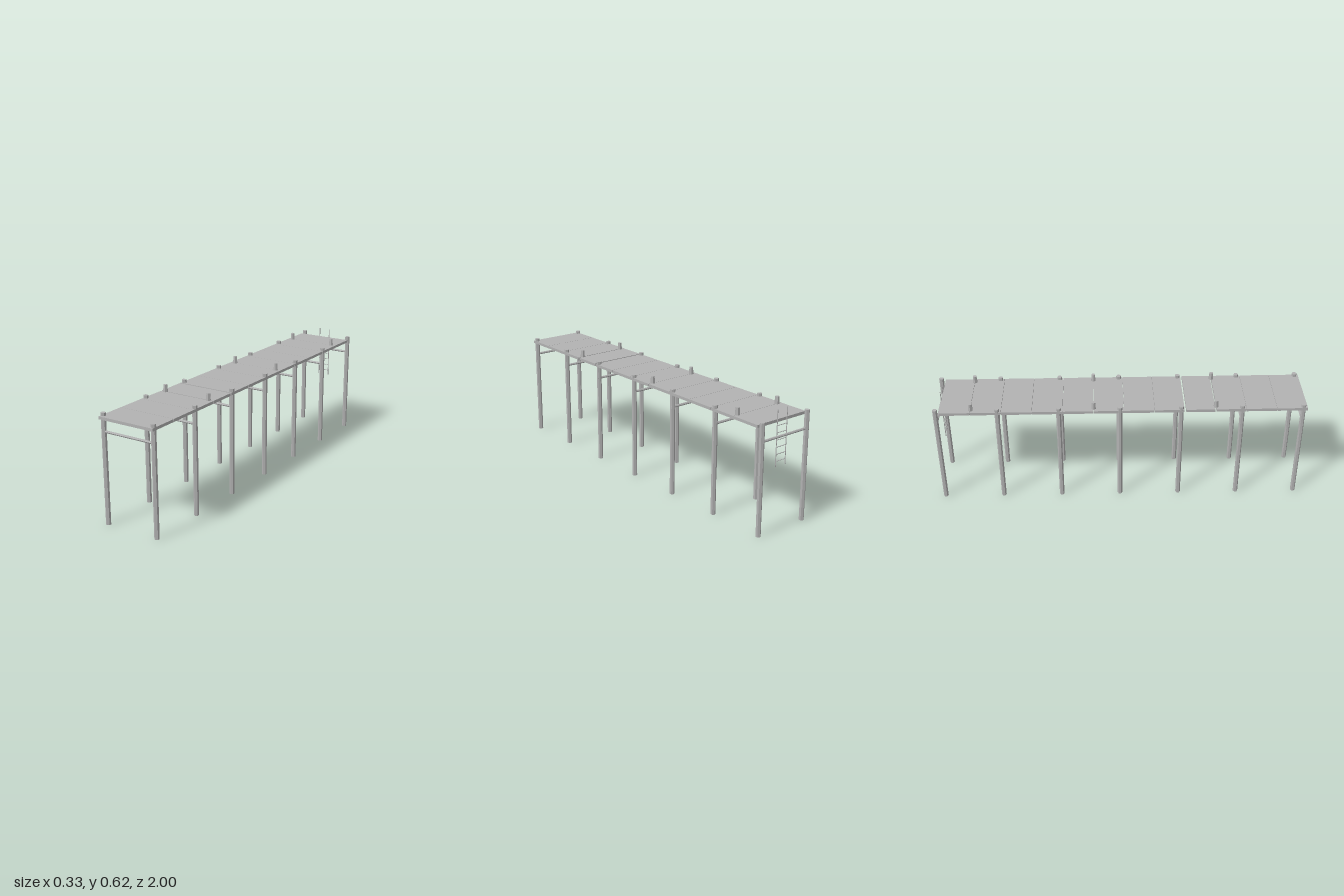
import * as THREE from 'three';

export function createModel() {
  const dock = new THREE.Group();
  dock.name = 'dock';
  const grey = new THREE.MeshStandardMaterial({ color: 0xb2b2b2, flatShading: true });
  grey.name = 'weathered grey';

  function add(parent, name, geometry, x, y, z) {
    const mesh = new THREE.Mesh(geometry, grey);
    mesh.name = name;
    mesh.position.set(x, y, z);
    parent.add(mesh);
    return mesh;
  }

  // Deck: twelve panels running back from the front edge, two joints left open
  const pitch = 0.1638, count = 12, front = 1.0;
  const openJoints = { 3: 0.006, 4: 0.009 };
  const jointGap = i => (i === 0 || i === count ? 0 : openJoints[i] ?? 0.0015);
  for (let i = 0; i < count; i++) {
    const z0 = front - i * pitch - jointGap(i) / 2;
    const z1 = front - (i + 1) * pitch + jointGap(i + 1) / 2;
    add(dock, 'deckPanel', new THREE.BoxGeometry(0.326, 0.015, z0 - z1), 0, 0.5655, (z0 + z1) / 2);
  }

  // Seven pairs of hexagonal posts, each joined by a crossbar
  const post = new THREE.CylinderGeometry(0.0132, 0.0132, 0.589, 6);
  const bar = new THREE.CylinderGeometry(0.0067, 0.0067, 0.327, 6).rotateZ(Math.PI / 2);
  for (let i = 0; i < 7; i++) {
    const z = 0.978 - i * 0.3275;
    for (const side of [-1, 1]) add(dock, 'post', post, side * 0.152, 0.2945, z);
    add(dock, 'crossbar', bar, 0, 0.4925, z);
  }

  // Tapered mooring bollards
  const bollard = new THREE.CylinderGeometry(0.0105, 0.0138, 0.04, 6).rotateY(Math.PI / 6);
  for (const z of [0.51, -0.145, -0.8]) {
    for (const side of [-1, 1]) add(dock, 'bollard', bollard, side * 0.135, 0.592, z);
  }

  // Ladder at the back end
  const ladder = new THREE.Group();
  ladder.name = 'ladder';
  ladder.position.z = -0.968;
  dock.add(ladder);
  const rail = new THREE.CylinderGeometry(0.0023, 0.0023, 0.296, 6);
  const rung = new THREE.CylinderGeometry(0.0019, 0.0019, 0.066, 6).rotateZ(Math.PI / 2);
  for (const side of [-1, 1]) add(ladder, 'ladderRail', rail, side * 0.033, 0.476, 0);
  for (let i = 0; i < 6; i++) add(ladder, 'ladderRung', rung, 0, 0.357 + i * 0.0368, 0);

  return dock;
}
